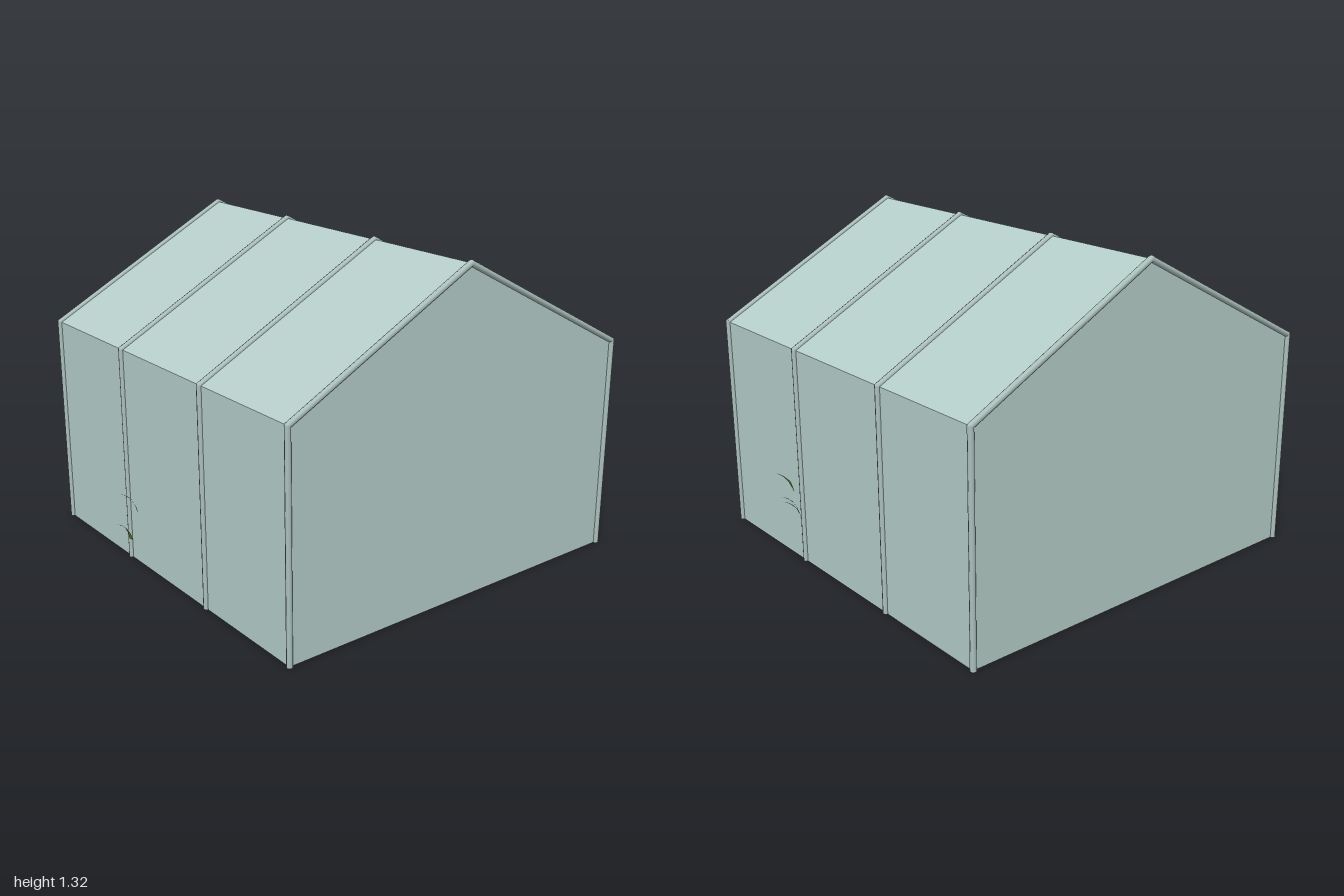
import * as THREE from 'three';

const mat = (name, color, double) => new THREE.MeshStandardMaterial({
  name, color, side: double ? THREE.DoubleSide : THREE.FrontSide });

export function createModel() {
  const model = new THREE.Group();
  model.name = 'greenhouse';
  const panelMat = mat('pale glass green', 0xb4ccc8, true);
  const frameMat = mat('frame grey green', 0xacc1bc);
  const woodMat = mat('planter wood', 0x8b7459);
  const soilMat = mat('soil', 0x4a3727);
  const leafMat = mat('leaf green', 0x5d7c2a, true);

  const add = (parent, name, geometry, material, x = 0, y = 0, z = 0) => {
    const mesh = new THREE.Mesh(geometry, material);
    mesh.name = name;
    mesh.position.set(x, y, z);
    parent.add(mesh);
    return mesh;
  };

  // House outline as [z, y], shared by panels and ribs
  const midZ = -0.05, halfX = 0.802;
  const outline = [[0.755, 0], [0.755, 0.888], [midZ, 1.312], [-0.855, 0.888], [-0.855, 0]];

  // Long walls and roof slopes, open underneath
  const sheetNames = ['frontWall', 'frontRoof', 'backRoof', 'backWall'];
  sheetNames.forEach((name, i) => {
    const [z0, y0] = outline[i], [z1, y1] = outline[i + 1];
    const geo = new THREE.BufferGeometry();
    geo.setAttribute('position', new THREE.Float32BufferAttribute([
      -halfX, y0, z0, halfX, y0, z0, halfX, y1, z1, -halfX, y1, z1], 3));
    geo.setIndex([0, 1, 2, 0, 2, 3]);
    geo.computeVertexNormals();
    add(model, name, geo, panelMat);
  });

  // Gable ends
  const gable = new THREE.Shape(outline.map(([z, y]) => new THREE.Vector2(z, y)));
  for (const side of [-1, 1]) {
    // mirrored outline so that both ends face outward
    const shape = side > 0
      ? new THREE.Shape(gable.getPoints().map(p => new THREE.Vector2(-p.x, p.y))) : gable;
    const end = add(model, side > 0 ? 'leftGable' : 'rightGable',
      new THREE.ShapeGeometry(shape), panelMat, side * halfX);
    end.rotation.y = side * Math.PI / 2;
  }

  // Four bent tube ribs
  const r = 0.012;
  const up = new THREE.Vector3(0, 1, 0);
  for (const x of [-0.803, -0.284, 0.278, 0.803]) {
    const rib = new THREE.Group();
    rib.name = 'rib';
    for (let i = 0; i < 4; i++) {
      const a = new THREE.Vector3(x, outline[i][1], outline[i][0]);
      const b = new THREE.Vector3(x, outline[i + 1][1], outline[i + 1][0]);
      const d = b.clone().sub(a);
      const bar = add(rib, 'ribBar', new THREE.CylinderGeometry(r, r, d.length(), 8), frameMat);
      bar.position.copy(a).add(b).multiplyScalar(0.5);
      bar.quaternion.setFromUnitVectors(up, d.normalize());
      if (i > 0) add(rib, 'ribJoint', new THREE.SphereGeometry(r, 8, 6), frameMat, x, a.y, a.z);
    }
    model.add(rib);
  }

  // Two long planters with soil on top
  for (const side of [-1, 1]) {
    const z = midZ + side * 0.45;
    add(model, 'planter', new THREE.BoxGeometry(1.34, 0.255, 0.38), woodMat, 0, 0.1275, z);
    add(model, 'soil', new THREE.BoxGeometry(1.28, 0.008, 0.32), soilMat, 0, 0.258, z);
  }

  // Curved leaf blade: rises from its base, then leans over by (dx, dz)
  const blade = (x, z, dx, dz, h, w = 0.022) => {
    const pos = [], index = [], n = 4;
    const len = Math.hypot(dx, dz) || 1;
    const sx = dz / len, sz = -dx / len;
    for (let i = 0; i <= n; i++) {
      const t = i / n, lean = Math.pow(t, 1.6), hw = w / 2 * (1 - t * 0.97);
      const y = 0.26 + h * Math.sin(t * 1.3) / Math.sin(1.3);
      for (const s of [-1, 1]) pos.push(x + dx * lean + s * sx * hw, y, z + dz * lean + s * sz * hw);
      if (i < n) { const k = i * 2; index.push(k, k + 1, k + 3, k, k + 3, k + 2); }
    }
    const geo = new THREE.BufferGeometry();
    geo.setAttribute('position', new THREE.Float32BufferAttribute(pos, 3));
    geo.setIndex(index);
    geo.computeVertexNormals();
    add(model, 'leafBlade', geo, leafMat);
  };

  // Stray blades outside the long walls: x, z, lean x, lean z, height
  [[-0.147, 0.795, -0.018, 0.058, 0.083],
    [0.06, 0.94, 0.007, 0.06, 0.08],
    [0.152, -0.94, 0.02, -0.06, 0.075],
    [0.192, -0.925, 0.018, -0.06, 0.078],
    [0.35, -0.845, 0.053, -0.05, 0.09]].forEach(b => blade(...b));

  // Blades growing along the planters
  let seed = 7;
  const rand = () => (seed = (seed * 16807) % 2147483647) / 2147483647;
  for (const side of [-1, 1]) {
    for (let i = 0; i < 24; i++) {
      const a = rand() * Math.PI * 2, lean = 0.04 + rand() * 0.03;
      blade((rand() - 0.5) * 1.1, midZ + side * 0.45 + (rand() - 0.5) * 0.34,
        Math.cos(a) * lean, Math.sin(a) * lean, 0.07 + rand() * 0.03);
    }
  }
  return model;
}
